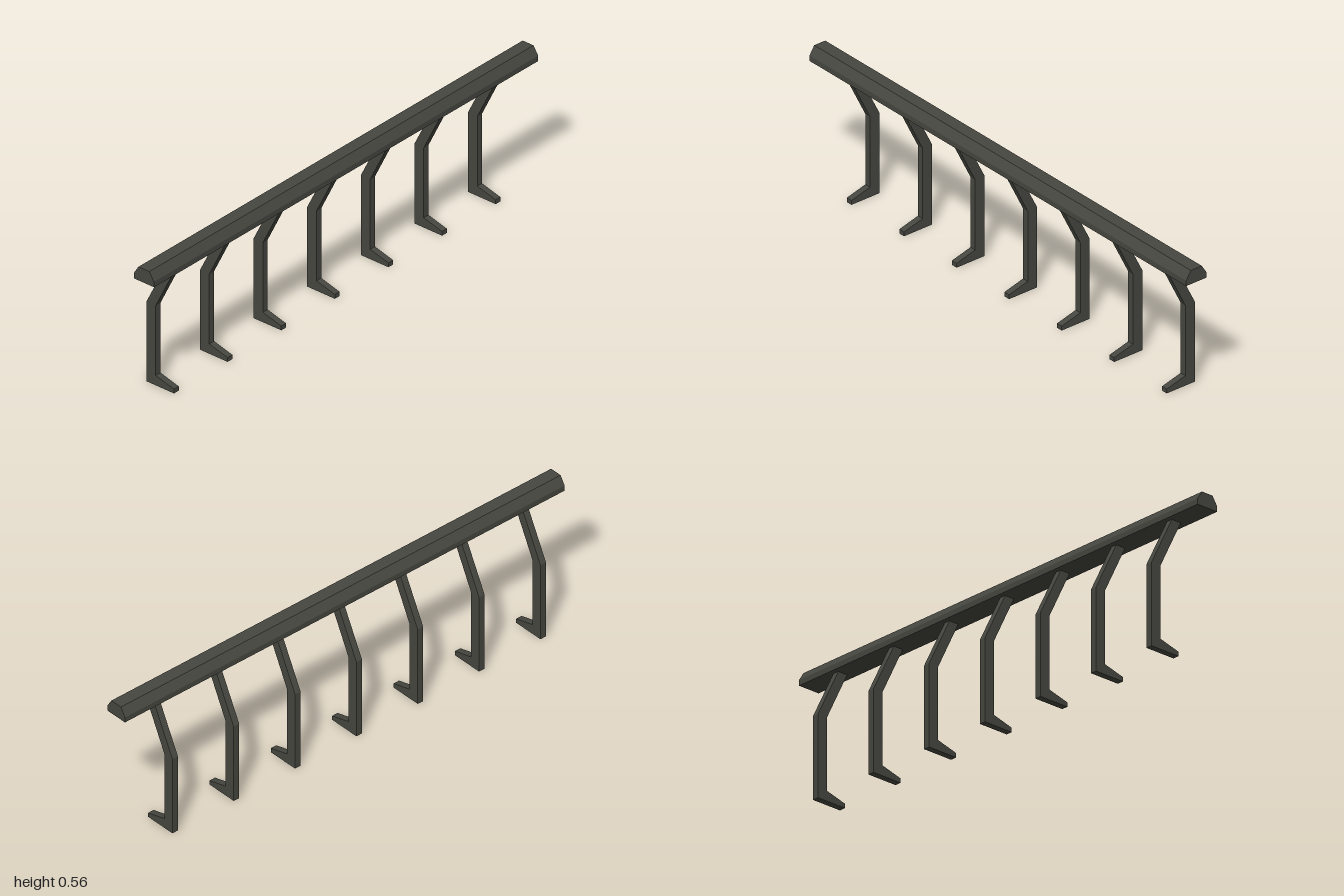
import * as THREE from 'three';

// Extrude an x/y outline along z, centred on z = 0
function prism(points, depth) {
  const shape = new THREE.Shape(points.map(([x, y]) => new THREE.Vector2(x, y)));
  const geometry = new THREE.ExtrudeGeometry(shape, { depth, bevelEnabled: false });
  return geometry.translate(0, 0, -depth / 2);
}

export function createModel() {
  const group = new THREE.Group();
  group.name = 'handrail';

  const darkMetal = new THREE.MeshStandardMaterial({ color: 0x474741 });
  darkMetal.name = 'dark metal';

  // Long rail with chamfered top edges
  const rail = new THREE.Mesh(prism([
    [-0.009, 0.505], [0.082, 0.505], [0.082, 0.526],
    [0.061, 0.559], [0.012, 0.559], [-0.009, 0.526],
  ], 2), darkMetal);
  rail.name = 'rail';
  group.add(rail);

  // Evenly spaced bent posts, each with a tapered foot
  const postGeometry = prism([
    [-0.083, 0], [0.042, 0], [0.042, 0.017], [-0.041, 0.039],
    [-0.041, 0.316], [0.053, 0.506], [0.012, 0.506], [-0.083, 0.316],
  ], 0.025);
  const count = 7, spacing = 0.279;
  for (let i = 0; i < count; i++) {
    const post = new THREE.Mesh(postGeometry, darkMetal);
    post.name = `post${i + 1}`;
    post.position.z = (i - (count - 1) / 2) * spacing;
    group.add(post);
  }

  return group;
}
